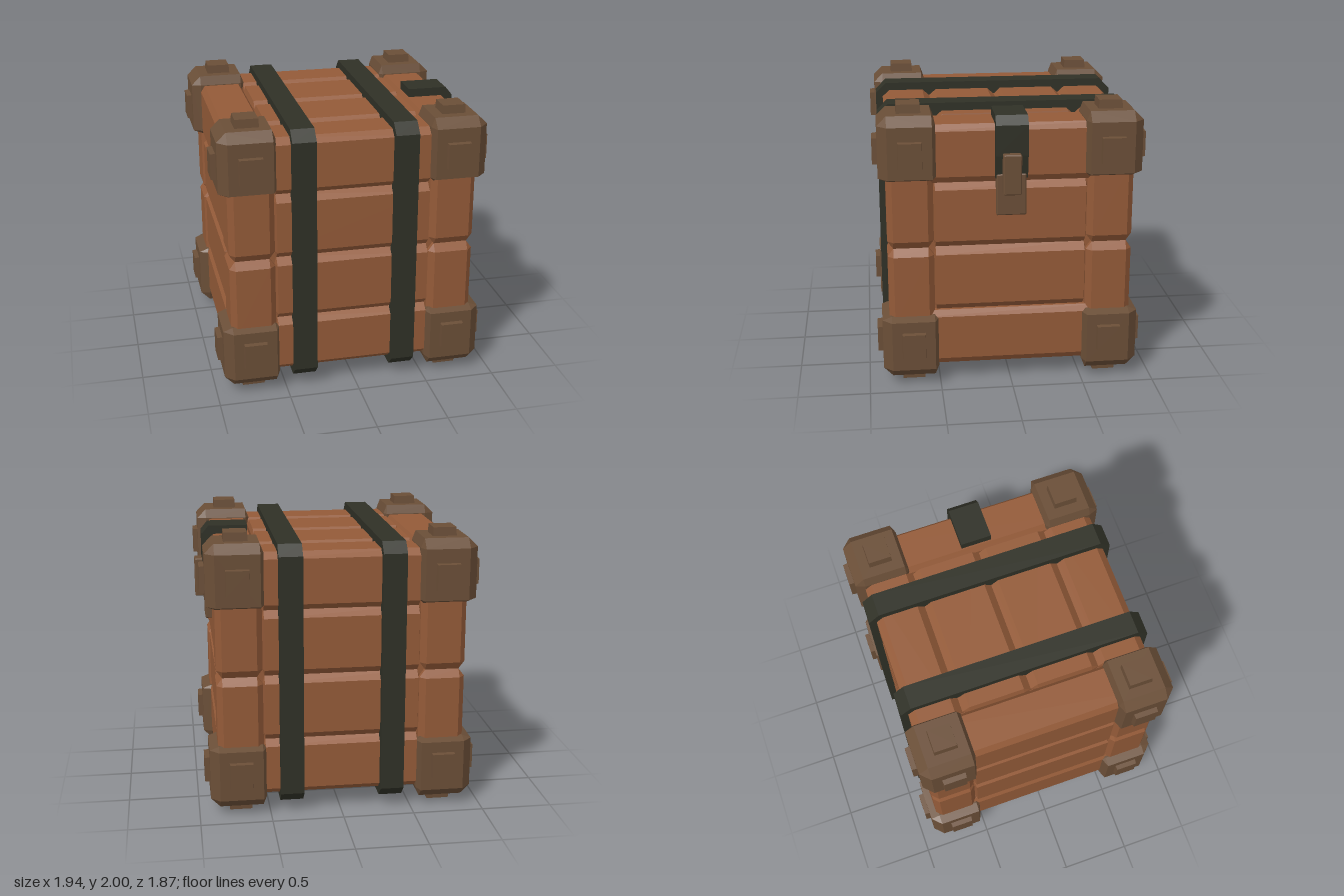
import * as THREE from 'three';
import { ConvexGeometry } from 'three/addons/geometries/ConvexGeometry.js';

const wood = new THREE.MeshStandardMaterial({ color: 0x935a38 });
wood.name = 'wood';
const bracketBrown = new THREE.MeshStandardMaterial({ color: 0x6a4e37 });
bracketBrown.name = 'bracketBrown';
const strapDark = new THREE.MeshStandardMaterial({ color: 0x2f3026 });
strapDark.name = 'strapDark';

// range [a, b] on the positive side, or its mirror image
const side = (s, a, b) => (s > 0 ? [a, b] : [-b, -a]);

function addMesh(parent, name, geometry, material) {
  const mesh = new THREE.Mesh(geometry, material);
  mesh.name = name;
  parent.add(mesh);
  return mesh;
}

// Box with bevelled edges; ranges and bevels are [low, high] per axis
function bevelBox(parent, name, material, ranges, bevels) {
  const points = [];
  for (let corner = 0; corner < 8; corner++) {
    const end = [corner & 1, (corner >> 1) & 1, (corner >> 2) & 1];
    for (let face = 0; face < 3; face++) {
      const p = end.map((e, axis) => {
        const inset = axis === face ? 0 : bevels[axis][e];
        return ranges[axis][e] + (e ? -inset : inset);
      });
      points.push(new THREE.Vector3(...p));
    }
  }
  return addMesh(parent, name, new ConvexGeometry(points), material);
}
const even = (x, y, z) => [[x, x], [y, y], [z, z]];

// Tapered square stud on the face of the given axis
function addStud(parent, center, size, axis, sign, base, tip) {
  const points = [];
  for (const [height, scale] of [[base, 1], [tip, 0.93]]) {
    for (const u of [-1, 1]) for (const v of [-1, 1]) {
      const p = [...center];
      p[axis] = sign * height;
      p[(axis + 1) % 3] += u * scale * size[(axis + 1) % 3] / 2;
      p[(axis + 2) % 3] += v * scale * size[(axis + 2) % 3] / 2;
      points.push(new THREE.Vector3(...p));
    }
  }
  addMesh(parent, 'stud', new ConvexGeometry(points), bracketBrown);
}

// Octagonal outline with cut corners, in the z-y plane of a strap
function cutRect(path, w, h, c) {
  path.moveTo(-w + c, -h);
  for (const [x, y] of [[w - c, -h], [w, -h + c], [w, h - c], [w - c, h],
    [-w + c, h], [-w, h - c], [-w, -h + c]]) path.lineTo(x, y);
  path.closePath();
  return path;
}

export function createModel() {
  const model = new THREE.Group();
  model.name = 'crate';
  // Crate is built around its own centre
  const crate = new THREE.Group();
  crate.name = 'crateBody';
  crate.position.set(-0.01, 1, 0);
  model.add(crate);

  const core = addMesh(crate, 'core', new THREE.BoxGeometry(1.6, 1.6, 1.56), wood);
  core.position.set(0, 0, 0);

  for (const s of [-1, 1]) {
    // Top and bottom: two rails along z, four planks along x
    const yRange = side(s, 0.465, 0.87);
    for (const sx of [-1, 1]) {
      bevelBox(crate, 'rail', wood, [side(sx, 0.55, 0.865), yRange, [-0.845, 0.845]], even(0.03, 0.045, 0.03));
    }
    for (const z of [[-0.84, -0.49], [-0.49, 0], [0, 0.49], [0.49, 0.84]]) {
      bevelBox(crate, 'lidPlank', wood, [[-0.55, 0.55], yRange, z], even(0.012, 0.045, 0.05));
    }
    // Middle planks and corner posts, in two rows
    for (const sy of [-1, 1]) {
      const row = side(sy, 0, 0.465);
      bevelBox(crate, 'frontPlank', wood, [[-0.55, 0.55], row, side(s, 0.5, 0.84)], even(0.012, 0.05, 0.05));
      bevelBox(crate, 'sidePlank', wood, [side(s, 0.5, 0.86), row, [-0.53, 0.53]], even(0.05, 0.05, 0.012));
      for (const sz of [-1, 1]) {
        bevelBox(crate, 'cornerPost', wood,
          [side(s, 0.55, 0.87), side(sy, 0, 0.6), side(sz, 0.53, 0.85)], even(0.04, 0.055, 0.04));
      }
    }
  }

  // Corner brackets, each with three studs
  const bevel = (s) => (s > 0 ? [0.025, 0.065] : [0.065, 0.025]);
  for (const sx of [-1, 1]) for (const sy of [-1, 1]) for (const sz of [-1, 1]) {
    const corner = new THREE.Group();
    corner.name = 'cornerBracket';
    crate.add(corner);
    bevelBox(corner, 'bracket', bracketBrown,
      [side(sx, 0.535, 0.93), side(sy, 0.49, 0.94), side(sz, 0.51, 0.9)],
      [bevel(sx), bevel(sy), bevel(sz)]);
    const center = [sx * 0.715, sy * 0.685, sz * 0.685];
    const size = [0.17, 0.19, 0.17];
    addStud(corner, center, size, 0, sx, 0.9, 0.965);
    addStud(corner, center, size, 1, sy, 0.9, 1);
    addStud(corner, center, size, 2, sz, 0.87, 0.935);
  }

  // Two straps wrapped around the crate
  const ring = cutRect(new THREE.Shape(), 0.89, 0.925, 0.075);
  ring.holes.push(cutRect(new THREE.Path(), 0.8, 0.83, 0.03));
  for (const x of [-0.435, 0.275]) {
    const strap = addMesh(crate, 'strap',
      new THREE.ExtrudeGeometry(ring, { depth: 0.165, bevelEnabled: false }), strapDark);
    strap.rotation.y = Math.PI / 2;
    strap.position.x = x;
  }

  // Latch on the left side: dark hinge cap, backing plate and tongue
  const latch = new THREE.Group();
  latch.name = 'latch';
  model.add(latch);
  const cap = new THREE.Shape([[0.58, 1.85], [0.84, 1.85], [0.84, 1.5], [0.885, 1.5],
    [0.91, 1.66], [0.91, 1.87], [0.86, 1.93], [0.58, 1.93]].map((p) => new THREE.Vector2(...p)));
  addMesh(latch, 'latchCap', new THREE.ExtrudeGeometry(cap, { depth: 0.22, bevelEnabled: false }), strapDark)
    .position.z = -0.11;
  bevelBox(latch, 'latchPlate', bracketBrown, [[0.83, 0.898], [1.24, 1.53], [-0.1, 0.105]], even(0.008, 0.008, 0.008));
  bevelBox(latch, 'latchTongue', bracketBrown, [[0.87, 0.965], [1.4, 1.68], [-0.06, 0.065]], even(0.008, 0.008, 0.008));

  return model;
}
